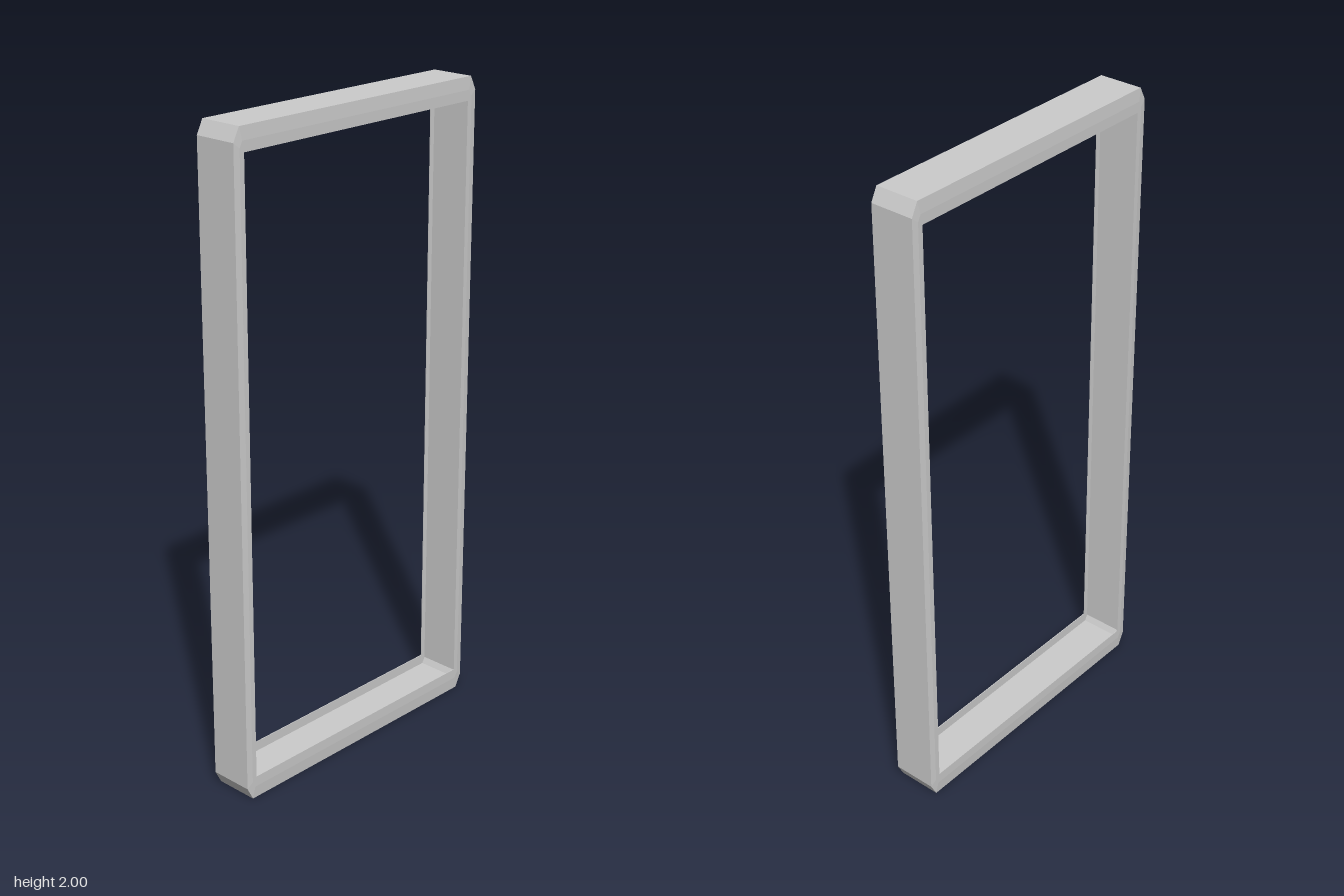
import * as THREE from 'three';

// Ring of 8 corners (z, y) of the chamfered rectangle; t = 0 outer edge, 1 inner edge
function ring(t) {
  const hz = 0.48 - 0.035 * t;
  const hy = 1 - 0.07 * t;
  const cz = 0.02 * (1 - t) + 0.001;
  const cy = 0.04 * (1 - t) + 0.001;
  return [
    [hz - cz, hy], [-hz + cz, hy], [-hz, hy - cy], [-hz, -hy + cy],
    [-hz + cz, -hy], [hz - cz, -hy], [hz, -hy + cy], [hz, hy - cy],
  ];
}

// Sweeps a closed (x, t) section around the frame
function sweep(section) {
  const rings = section.map(([x, t]) => ring(t).map(([z, y]) => [x, y + 1, z]));
  const pos = [];
  for (let j = 0; j < rings.length; j++) {
    const p = rings[j];
    const q = rings[(j + 1) % rings.length];
    for (let i = 0; i < 8; i++) {
      const k = (i + 1) % 8;
      pos.push(...p[i], ...q[i], ...q[k], ...p[i], ...q[k], ...p[k]);
    }
  }
  const geo = new THREE.BufferGeometry();
  geo.setAttribute('position', new THREE.Float32BufferAttribute(pos, 3));
  geo.computeVertexNormals();
  return geo;
}

export function createModel() {
  const group = new THREE.Group();
  group.name = 'doorFrame';

  // Outer band with a thin raised lip along both inner edges
  const half = [[0.069, 0], [0.0715, 0.55], [0.0715, 1], [0.069, 1], [0.069, 0.55]];
  const section = [...half, ...half.map(([x, t]) => [-x, t]).reverse()];

  const frame = new THREE.Mesh(
    sweep(section),
    new THREE.MeshStandardMaterial({ color: 0xcccccc, flatShading: true })
  );
  frame.name = 'frame';
  group.add(frame);
  return group;
}
